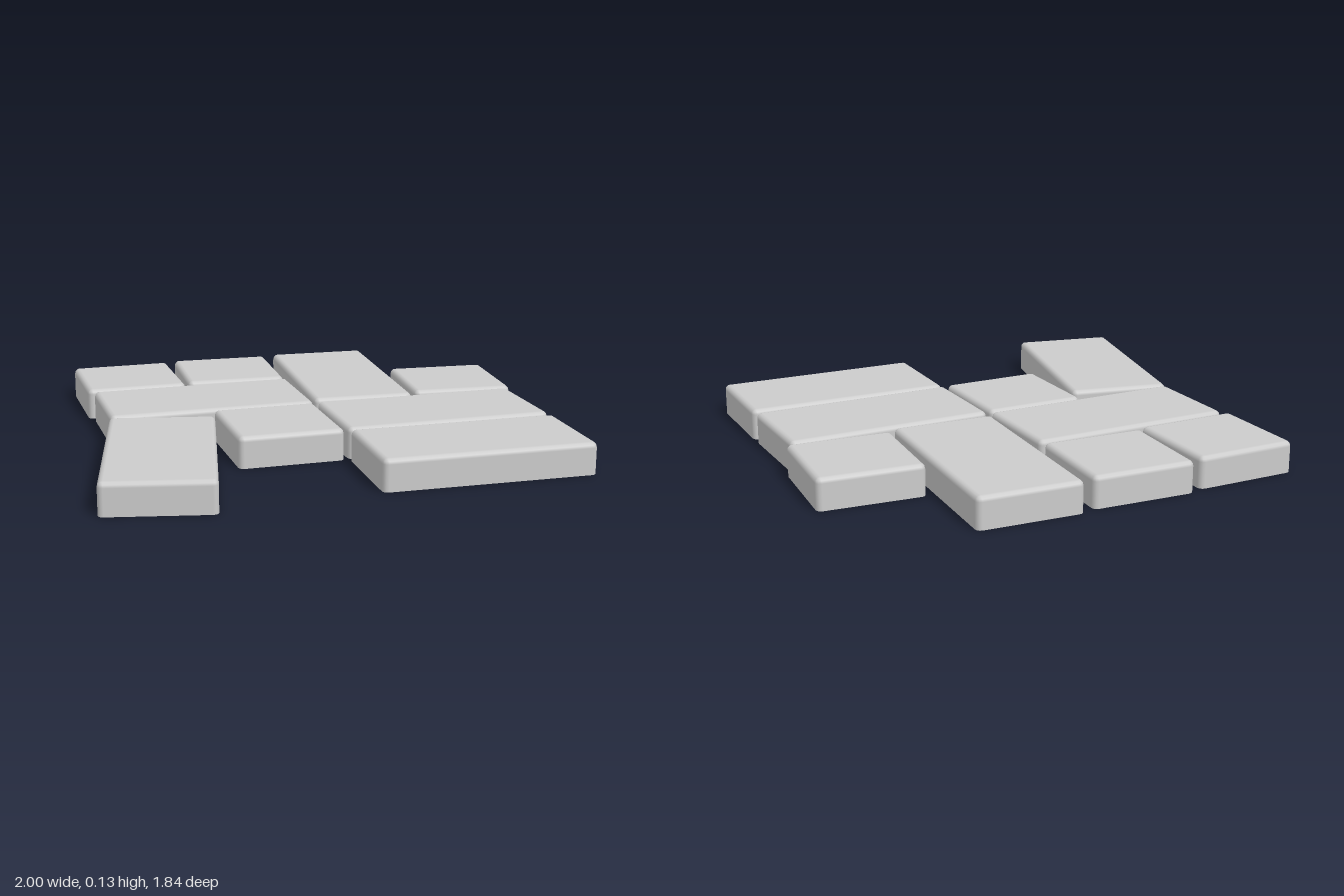
import * as THREE from 'three';

const HEIGHT = 0.13, WIDTH = 0.433, LONG = 0.868, RADIUS = 0.022, STEPS = 3;

// Block with a flat sharp base, rounded upright corners and a rounded top edge
function blockGeometry(w, d) {
  const pos = [], nor = [], idx = [];
  const quarter = Math.PI / 2;
  const count = 4 * (STEPS + 1);

  // One closed outline: height y, corner radius r, tilt of the normal
  function ring(y, r, tilt) {
    const start = pos.length / 3;
    for (let c = 0; c < 4; c++) {
      const cx = (c === 0 || c === 3 ? 1 : -1) * (w / 2 - RADIUS);
      const cz = (c < 2 ? 1 : -1) * (d / 2 - RADIUS);
      for (let s = 0; s <= STEPS; s++) {
        const a = (c + s / STEPS) * quarter;
        pos.push(cx + r * Math.cos(a), y, cz + r * Math.sin(a));
        nor.push(Math.cos(a) * Math.cos(tilt), Math.sin(tilt), Math.sin(a) * Math.cos(tilt));
      }
    }
    return start;
  }

  // Side wall and rounded top edge
  let below = ring(0, RADIUS, 0);
  for (let k = 0; k <= STEPS; k++) {
    const t = (k / STEPS) * quarter;
    const above = ring(HEIGHT - RADIUS + RADIUS * Math.sin(t), RADIUS * Math.cos(t), t);
    for (let i = 0; i < count; i++) {
      const j = (i + 1) % count;
      idx.push(below + i, above + i, above + j, below + i, above + j, below + j);
    }
    below = above;
  }

  // Flat top and base
  const base = ring(0, RADIUS, -quarter);
  for (let i = 1; i < count - 1; i++) {
    idx.push(below, below + i + 1, below + i, base, base + i, base + i + 1);
  }

  const geo = new THREE.BufferGeometry();
  geo.setAttribute('position', new THREE.Float32BufferAttribute(pos, 3));
  geo.setAttribute('normal', new THREE.Float32BufferAttribute(nor, 3));
  geo.setIndex(idx);
  return geo;
}

export function createModel() {
  const group = new THREE.Group();
  group.name = 'pavingStones';
  const material = new THREE.MeshStandardMaterial({ color: 0xcccccc });
  const square = blockGeometry(WIDTH, WIDTH);
  const oblong = blockGeometry(LONG, WIDTH);

  // name, geometry, x, z, turn in degrees
  const stones = [
    ['squareStoneBackRight', square, -0.612, -0.695, 0],
    ['squareStoneBackMiddle', square, -0.15, -0.703, -3],
    ['longStoneBackLeft', oblong, 0.316, -0.479, 86.7],
    ['squareStoneLeft', square, 0.766, -0.262, -4.7],
    ['longStoneMiddleRight', oblong, -0.374, -0.241, 0],
    ['longStoneLoose', oblong, -0.698, 0.449, 77.5],
    ['squareStoneCentre', square, -0.163, 0.203, 0],
    ['longStoneMiddleLeft', oblong, 0.505, 0.198, 0],
    ['longStoneFrontLeft', oblong, 0.502, 0.65, -1.5],
  ];
  for (const [name, geometry, x, z, turn] of stones) {
    const stone = new THREE.Mesh(geometry, material);
    stone.name = name;
    stone.position.set(x, 0, z);
    stone.rotation.y = THREE.MathUtils.degToRad(turn);
    group.add(stone);
  }
  return group;
}
